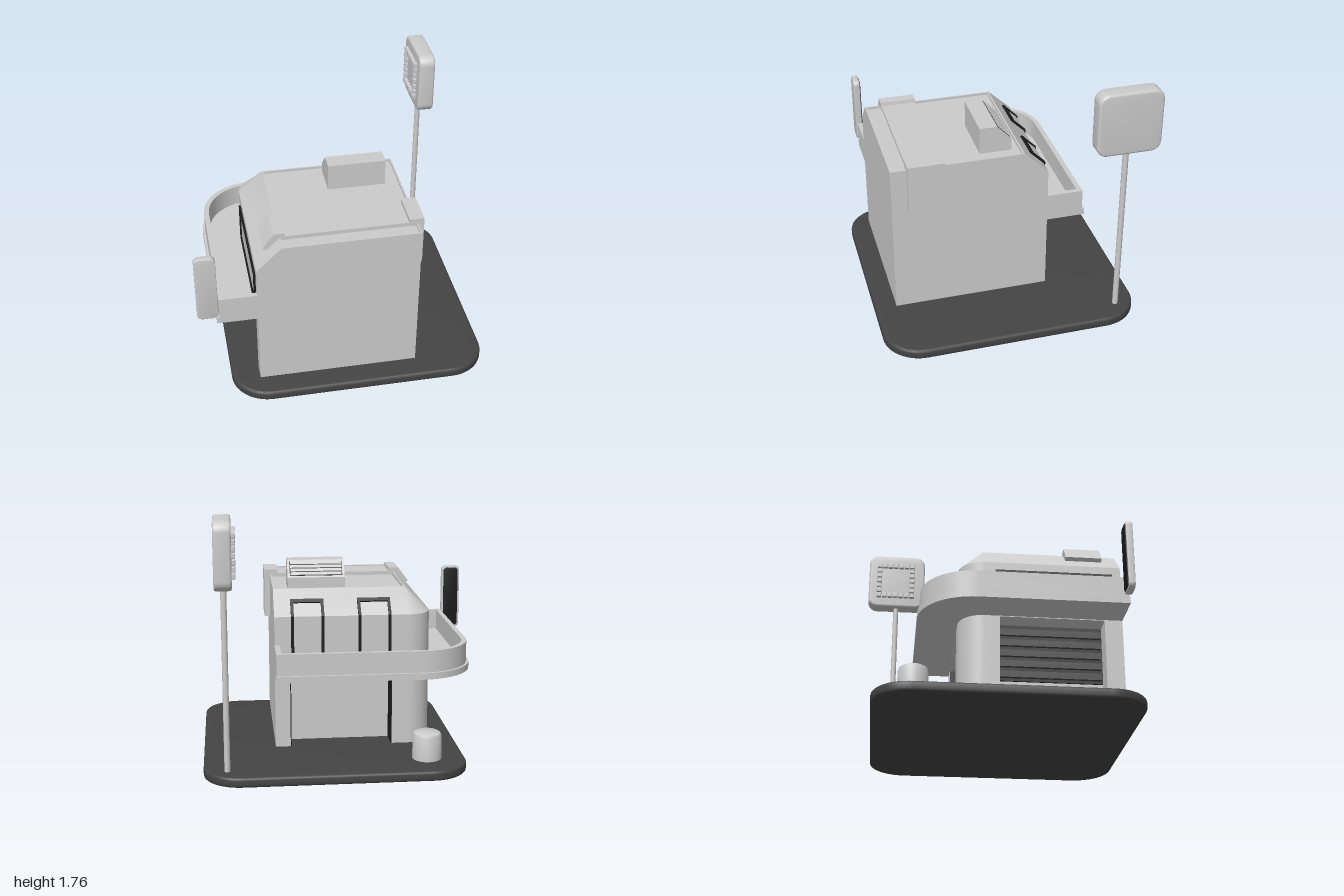
import * as THREE from 'three';
import { toCreasedNormals } from 'three/addons/utils/BufferGeometryUtils.js';
import { RoundedBoxGeometry } from 'three/addons/geometries/RoundedBoxGeometry.js';

const GREY = new THREE.MeshStandardMaterial({ color: 0xcccccc });
const DARK = new THREE.MeshStandardMaterial({ color: 0x444444 });
const BLACK = new THREE.MeshStandardMaterial({ color: 0x1c1c1c });

export function createModel() {
  const model = new THREE.Group();

  function add(name, geometry, material = GREY, parent = model) {
    const mesh = new THREE.Mesh(geometry, material);
    mesh.name = name;
    parent.add(mesh);
    return mesh;
  }
  function group(name) {
    const g = new THREE.Group();
    g.name = name;
    model.add(g);
    return g;
  }
  // Box given by its limits on each axis
  function box(name, [x0, x1], [y0, y1], [z0, z1], material, parent) {
    const g = new THREE.BoxGeometry(x1 - x0, y1 - y0, z1 - z0);
    g.translate((x0 + x1) / 2, (y0 + y1) / 2, (z0 + z1) / 2);
    return add(name, g, material, parent);
  }
  // Rounded rectangle with bevelled rims, centred, thickness along z
  function plate(w, h, depth, r, b) {
    const x = w / 2 - b, y = h / 2 - b, q = r - b;
    const s = new THREE.Shape();
    s.absarc(x - q, y - q, q, 0, Math.PI / 2);
    s.absarc(-x + q, y - q, q, Math.PI / 2, Math.PI);
    s.absarc(-x + q, -y + q, q, Math.PI, Math.PI * 1.5);
    s.absarc(x - q, -y + q, q, Math.PI * 1.5, Math.PI * 2);
    const g = new THREE.ExtrudeGeometry(s, {
      depth: depth - 2 * b, bevelThickness: b, bevelSize: b, bevelSegments: 3, curveSegments: 10,
    });
    g.translate(0, 0, b - depth / 2);
    return toCreasedNormals(g, 0.6);
  }
  // Plan shape (x, z) raised from y0 to y1
  function raise(shape, y0, y1) {
    const g = new THREE.ExtrudeGeometry(shape, { depth: y1 - y0, bevelEnabled: false, curveSegments: 14 });
    g.rotateX(Math.PI / 2).translate(0, y1, 0);
    return toCreasedNormals(g, 0.5);
  }
  // Side profile of [z, y] points drawn out from x0 to x1
  function profileX(points, x0, x1) {
    const s = new THREE.Shape(points.map(p => new THREE.Vector2(...p)));
    const g = new THREE.ExtrudeGeometry(s, { depth: x1 - x0, bevelEnabled: false });
    return g.rotateY(-Math.PI / 2).translate(x1, 0, 0);
  }

  // Ground plate
  add('groundPlate', plate(1.79, 1.79, 0.07, 0.26, 0.018).rotateX(-Math.PI / 2).translate(0.105, 0.035, 0.04), DARK);

  // Upper storey: stacked outlines with one rounded corner, chamfer and sunken roof
  const outline = (r, inset, y) => {
    const ring = [[0.5 - inset, y, 0.79 - inset], [0.5 - inset, y, -0.13 - r + inset]];
    for (let i = 0; i <= 10; i++) {
      const a = i / 10 * Math.PI / 2;
      ring.push([-0.43 + inset - r * Math.sin(a), y, -0.13 + inset - r * Math.cos(a)]);
    }
    ring.push([-0.43 - r + inset, y, 0.79 - inset]);
    return ring;
  };
  const rings = [outline(0.17, 0, 0.62), outline(0.17, 0, 1.02), outline(0, 0, 1.185),
    outline(0, 0.012, 1.185), outline(0, 0.012, 1.168)];
  const pos = [];
  for (let k = 0; k < rings.length - 1; k++) {
    const a = rings[k], b = rings[k + 1];
    a.forEach((p, i) => {
      const j = (i + 1) % a.length;
      pos.push(...p, ...a[j], ...b[j], ...p, ...b[j], ...b[i]);
    });
  }
  const floor = rings[0], roof = rings[rings.length - 1];
  for (let i = 1; i < roof.length - 1; i++) {
    pos.push(...roof[0], ...roof[i], ...roof[i + 1], ...floor[0], ...floor[i + 1], ...floor[i]);
  }
  const shell = new THREE.BufferGeometry();
  shell.setAttribute('position', new THREE.Float32BufferAttribute(pos, 3));
  add('upperStorey', toCreasedNormals(shell, 0.4));

  // Ground floor: recessed core, posts and rounded corner column
  box('groundFloorCore', [-0.45, 0.5], [0.09, 0.62], [-0.145, 0.79]);
  box('rearPost', [0.395, 0.5], [0.09, 0.62], [-0.3, -0.145]);
  box('sidePost', [-0.6, -0.45], [0.09, 0.62], [0.67, 0.79]);
  const column = new THREE.Shape();
  column.moveTo(-0.32, -0.03).lineTo(-0.6, -0.03).lineTo(-0.6, -0.13);
  column.absarc(-0.43, -0.13, 0.17, Math.PI, Math.PI * 1.5).lineTo(-0.32, -0.3);
  add('cornerColumn', raise(column, 0.09, 0.62));
  const lining = group('entranceLining');
  box('jamb', [0.388, 0.396], [0.09, 0.62], [-0.295, -0.145], BLACK, lining);
  box('jamb', [-0.321, -0.313], [0.09, 0.62], [-0.295, -0.145], BLACK, lining);
  box('lintel', [-0.32, 0.395], [0.57, 0.615], [-0.16, -0.145], BLACK, lining);

  // Slatted shutter in the side recess
  const shutter = group('shutter');
  box('shutterBack', [-0.462, -0.45], [0.22, 0.62], [-0.03, 0.67], BLACK, shutter);
  for (let i = 0; i < 5; i++) {
    box('shutterSlat', [-0.485, -0.455], [0.24 + i * 0.075, 0.285 + i * 0.075], [-0.02, 0.66], DARK, shutter);
  }

  // Balcony: L-shaped strip with a large rounded corner, e is the outer overhang
  const strip = (e, depthX, depthZ, cap) => {
    const X = -0.855 - e, Z = -0.555 - e, R = 0.36 + e;
    const s = new THREE.Shape();
    s.moveTo(0.5, Z).lineTo(X + R, Z);
    s.absarc(X + R, Z + R, R, Math.PI * 1.5, Math.PI, true);
    s.lineTo(X, 0.79).lineTo(depthX, 0.79);
    if (!cap) return s.lineTo(depthX, depthZ).lineTo(0.5, depthZ);
    const t = 0.035, r = R - t;
    s.lineTo(depthX, 0.79 - t).lineTo(X + t, 0.79 - t).lineTo(X + t, Z + R);
    s.absarc(X + R, Z + R, r, Math.PI, Math.PI * 1.5);
    return s.lineTo(0.5 - t, Z + t).lineTo(0.5 - t, depthZ).lineTo(0.5, depthZ);
  };
  const balcony = group('balcony');
  add('balconyFloor', raise(strip(0.018, -0.5, -0.2, false), 0.625, 0.67), GREY, balcony);
  add('balconyParapet', raise(strip(0, -0.6, -0.3, true), 0.67, 0.82), GREY, balcony);

  // Rear windows bending over the chamfer; o is how far they stand out
  const bent = (o, y0, end) => [[-0.3 - o, y0], [-0.3 - o, 1.02 + 0.4 * o],
    [-0.3 + end - 0.7 * o, 1.02 + 0.97 * end + 0.7 * o], [-0.29 + end, 1.01 + 0.97 * end],
    [-0.285, 1.01], [-0.285, y0]];
  const cross = (t) => [[-0.3 + t, 1.02 + 0.97 * t], [-0.31 + t, 1.032 + 0.97 * t],
    [-0.29 + t, 1.052 + 0.97 * t], [-0.28 + t, 1.04 + 0.97 * t]];
  for (const x of [-0.195, 0.27]) {
    const w = group('rearWindow');
    add('glass', profileX(bent(0.005, 0.75, 0.095), x - 0.1, x + 0.1), GREY, w);
    for (const s of [-1, 1]) {
      add('frameSide', profileX(bent(0.014, 0.74, 0.1), x + s * 0.105 - 0.01, x + s * 0.105 + 0.01), BLACK, w);
    }
    add('frameTop', profileX(cross(0.078), x - 0.115, x + 0.115), BLACK, w);
    box('frameSill', [x - 0.115, x + 0.115], [0.74, 0.76], [-0.314, -0.29], BLACK, w);
  }

  // Long side window
  const side = group('sideWindow');
  box('glass', [-0.603, -0.59], [0.69, 0.95], [-0.05, 0.72], GREY, side);
  for (const y of [0.68, 0.94]) box('frameRail', [-0.614, -0.59], [y, y + 0.02], [-0.06, 0.73], BLACK, side);
  for (const z of [-0.06, 0.71]) box('frameStile', [-0.614, -0.59], [0.68, 0.96], [z, z + 0.02], BLACK, side);

  // Band across the roof with its two end caps
  const band = group('roofBand');
  box('bandMiddle', [-0.4, 0.45], [1.16, 1.195], [0.435, 0.675], GREY, band);
  const caps = [
    [[-0.54, 1.12], [-0.52, 1.10], [-0.43, 1.17], [-0.385, 1.17], [-0.395, 1.222], [-0.465, 1.222]],
    [[0.44, 1.17], [0.495, 1.17], [0.495, 0.87], [0.54, 0.87], [0.54, 1.222], [0.44, 1.222]],
  ];
  for (const c of caps) {
    const g = new THREE.ExtrudeGeometry(new THREE.Shape(c.map(p => new THREE.Vector2(...p))), { depth: 0.25, bevelEnabled: false });
    add('bandEnd', g.translate(0, 0, 0.43), GREY, band);
  }

  // Roof vent with louvres on its sloping face
  const vent = group('roofVent');
  add('ventBody', profileX([[0.155, 1.16], [0.155, 1.358], [0.035, 1.358], [-0.068, 1.25], [-0.068, 1.16]], -0.01, 0.392), GREY, vent);
  const louvres = new THREE.Group();
  louvres.name = 'louvres';
  louvres.position.set(0.191, 1.304, -0.0165);
  louvres.rotation.x = -Math.atan2(0.108, 0.103);
  vent.add(louvres);
  box('louvreBack', [-0.185, 0.185], [-0.01, 0.002], [-0.06, 0.06], BLACK, louvres);
  for (let i = 0; i < 4; i++) box('louvre', [-0.18, 0.18], [0, 0.008], [-0.056 + i * 0.03, -0.034 + i * 0.03], GREY, louvres);

  // Pole sign with a square of raised studs
  const sign = group('poleSign');
  add('pole', new THREE.CylinderGeometry(0.02, 0.02, 1.28, 16).translate(0.84, 0.71, -0.71), GREY, sign);
  add('signBoard', plate(0.44, 0.445, 0.115, 0.07, 0.015).rotateY(Math.PI / 2).translate(0.842, 1.542, -0.71), GREY, sign);
  for (let i = 0; i < 7; i++) {
    for (let j = 0; j < 7; j++) {
      if (Math.max(Math.abs(i - 3), Math.abs(j - 3)) < 3) continue;
      add('stud', new RoundedBoxGeometry(0.035, 0.038, 0.038, 1, 0.006).translate(0.777, 1.412 + i * 0.043, -0.849 + j * 0.043), GREY, sign);
    }
  }

  // Upright blade sign at the balcony end
  const blade = group('bladeSign');
  add('bladeBoard', plate(0.14, 0.49, 0.045, 0.035, 0.006).translate(-0.93, 0.925, 0.778), GREY, blade);
  add('bladePanel', plate(0.112, 0.46, 0.008, 0.025, 0.002).translate(-0.93, 0.925, 0.754), BLACK, blade);

  // Round bin behind the corner column
  const bin = [[0, 0.075], [0.1, 0.075], [0.1, 0.235], [0.092, 0.255], [0.075, 0.265], [0, 0.265]];
  const binGeometry = new THREE.LatheGeometry(bin.map(p => new THREE.Vector2(...p)), 28);
  add('bin', toCreasedNormals(binGeometry, 0.6).translate(-0.522, 0, -0.587));

  return model;
}
